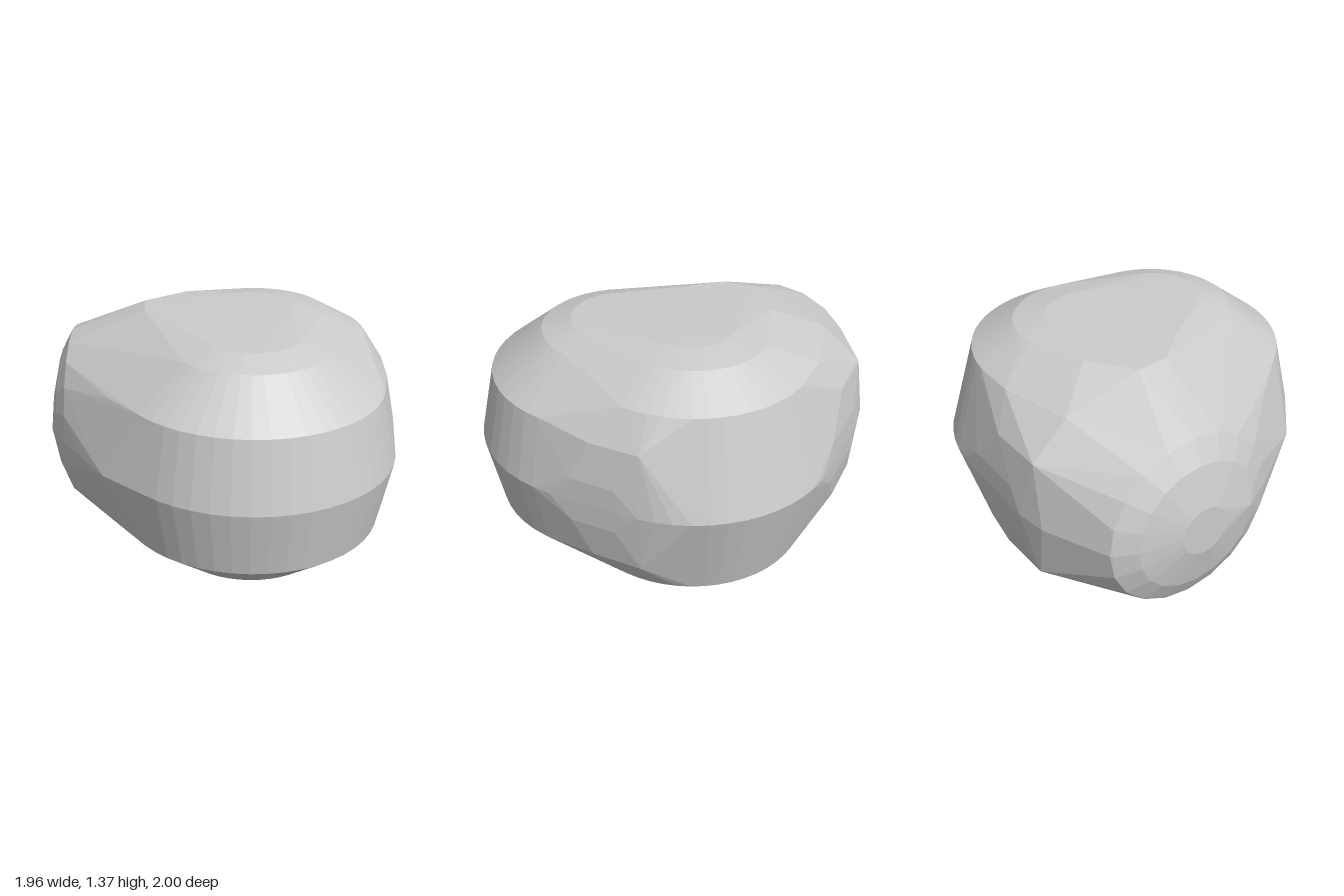
import * as THREE from 'three';
import { ConvexGeometry } from 'three/addons/geometries/ConvexGeometry.js';

const MID = 0.686; // height of the horizontal mirror plane

export function createModel() {
  const group = new THREE.Group();
  const points = [];

  // Adds a point above and below the mirror plane
  const addPair = (x, z, h) => {
    points.push(new THREE.Vector3(x, MID + h, z));
    if (h > 0) points.push(new THREE.Vector3(x, MID - h, z));
  };

  // Stacked horizontal rings of [radius, height from the mirror plane]
  const addLobe = (cx, cz, rings, start, end, steps) => {
    for (const [r, h] of rings) {
      for (let i = 0; i <= steps; i++) {
        const a = start + (end - start) * i / steps;
        addPair(cx + r * Math.cos(a), cz + r * Math.sin(a), h);
      }
    }
  };

  // Front lobe: wide belt, rounded shoulder, flat top and bottom
  addLobe(0.18, 0.2, [[0.8, 0], [0.72, 0.38], [0.44, 0.6], [0.28, 0.655]],
    -0.1, Math.PI + 0.1, 26);

  // Back lobe on the model's left side: one conical band up to the shoulder
  addLobe(0.2, -0.22, [[0.78, 0], [0.63, 0.525], [0.4, 0.655], [0.22, 0.686]],
    -Math.PI / 2 - 0.15, 0.15, 16);

  // Right lobe: upright rings of [x, radius] closing towards -x
  for (const [x, r] of [[-0.86, 0.495], [-0.925, 0.37], [-0.98, 0.14]]) {
    for (let i = 0; i <= 10; i++) {
      const a = Math.PI * i / 10;
      addPair(x, -0.31 + r * Math.cos(a), Math.max(0, r * Math.sin(a)));
    }
  }

  // Blends between the lobes, each entry [height, [x, z] ...]
  const blends = [
    [0, [-0.6, 0.58], [-0.72, 0.4], [-0.96, 0], [-0.87, -0.79], [-0.5, -0.97], [-0.33, -1], [0.1, -1]],
    [0.13, [-0.25, -0.995], [0.1, -0.995], [0.977, -0.15], [0.977, 0.1]],
    [0.35, [-0.42, -0.95], [-0.1, -0.96], [0.94, -0.28], [0.94, 0]],
    [0.37, [-0.58, 0.4]],
    [0.53, [-0.4, -0.74], [0, -0.85]],
    [0.67, [-0.43, -0.32], [-0.42, -0.15], [-0.25, 0.05], [-0.2, -0.5]],
  ];
  for (const [h, ...ring] of blends) for (const [x, z] of ring) addPair(x, z, h);

  // Faceted shell wrapped around all lobes
  const body = new THREE.Mesh(
    new ConvexGeometry(points),
    new THREE.MeshStandardMaterial({ color: 0xcccccc, flatShading: true })
  );
  body.name = 'facetedBody';
  group.add(body);
  return group;
}
